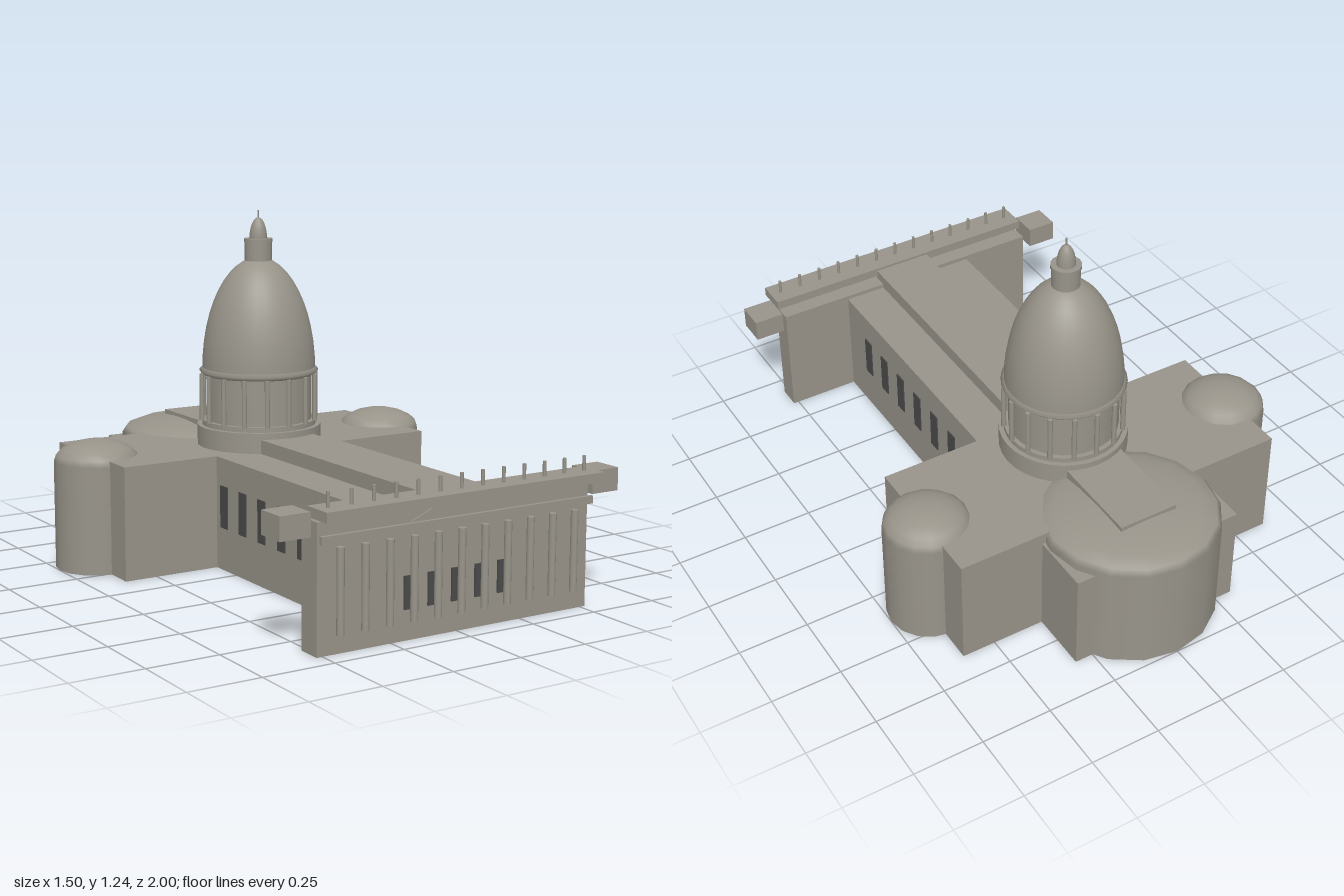
import * as THREE from 'three';

const stone = new THREE.MeshStandardMaterial({ color: 0x98948a });
stone.name = 'stone';
const glass = new THREE.MeshStandardMaterial({ color: 0x4a4a4b });
glass.name = 'darkWindow';

export function createModel() {
  const model = new THREE.Group();
  model.name = 'domedBasilica';

  const add = (name, geo, x = 0, y = 0, z = 0, mat = stone) => {
    const mesh = new THREE.Mesh(geo, mat);
    mesh.name = name;
    mesh.position.set(x, y, z);
    model.add(mesh);
    return mesh;
  };
  // Box from its minimum and maximum corners
  const block = (name, x0, x1, y0, y1, z0, z1, mat) =>
    add(name, new THREE.BoxGeometry(x1 - x0, y1 - y0, z1 - z0),
      (x0 + x1) / 2, (y0 + y1) / 2, (z0 + z1) / 2, mat);
  // Upright cylinder between two heights
  const drum = (name, r, y0, y1, x, z, sides = 32) =>
    add(name, new THREE.CylinderGeometry(r, r, y1 - y0, sides), x, (y0 + y1) / 2, z);
  // Half ellipsoid standing on height y
  const cap = (name, r, h, x, y, z, sides, rings) => {
    const geo = new THREE.SphereGeometry(r, sides, rings, 0, Math.PI * 2, 0, Math.PI / 2);
    geo.scale(1, h / r, 1);
    return add(name, geo, x, y, z);
  };

  // Main body
  block('nave', -0.26, 0.26, 0, 0.4, -0.64, 0.86);
  block('transept', -0.62, 0.62, 0, 0.4, -0.65, -0.13);
  block('choir', -0.315, 0.315, 0, 0.36, -0.865, -0.6);
  block('raisedRoof', -0.108, 0.108, 0.39, 0.45, -0.8, 0.895);

  // Rounded apses with shallow domes
  for (const [name, x, z, r, h] of [
    ['rearApse', 0, -0.69, 0.31, 0.062],
    ['leftApse', 0.6, -0.385, 0.15, 0.074],
    ['rightApse', -0.6, -0.385, 0.15, 0.074],
  ]) {
    drum(name + 'Wall', r, 0, 0.38, x, z, 16);
    cap(name + 'Dome', r, h, x, 0.38, z, 16, 5);
  }

  // Facade
  block('facadeWall', -0.52, 0.52, 0, 0.415, 0.845, 0.93);
  block('entablature', -0.52, 0.52, 0.35, 0.376, 0.945, 0.958);
  block('balustradeLedge', -0.53, 0.53, 0.427, 0.46, 0.89, 1.0);
  const gable = new THREE.Shape([
    new THREE.Vector2(-0.18, 0), new THREE.Vector2(0.18, 0), new THREE.Vector2(0, 0.073),
  ]);
  add('pediment', new THREE.ExtrudeGeometry(gable, { depth: 0.035, bevelEnabled: false }), 0, 0.376, 0.9);
  for (const s of [-1, 1]) {
    const cube = add(s > 0 ? 'leftClockBlock' : 'rightClockBlock', new THREE.BoxGeometry(0.108, 0.077, 0.105));
    cube.position.set(s * 0.595, 0.4115, 0.878);
  }
  for (let i = -5; i <= 5; i++) drum('facadeColumn', 0.0125, 0.065, 0.337, i * 0.09, 0.952, 12);
  for (let i = -6; i <= 6; i++) drum('statue', 0.006, 0.46, 0.51, i * 0.0817, 0.945, 8);
  for (let i = -2; i <= 2; i++) {
    block('facadeWindow', i * 0.09 - 0.025, i * 0.09 + 0.025, 0.1, 0.207, 0.929, 0.936, glass);
  }

  // Nave side windows
  for (let i = 0; i < 7; i++) {
    const z = 0.686 - i * 0.127;
    for (const s of [-1, 1]) {
      add('naveWindow', new THREE.BoxGeometry(0.008, 0.15, 0.048), s * 0.26, 0.227, z, glass);
    }
  }

  // Drum with its ring of columns
  const dz = -0.277;
  drum('drumBase', 0.223, 0.39, 0.472, 0, dz);
  drum('drumStep', 0.206, 0.47, 0.49, 0, dz);
  drum('drumWall', 0.19, 0.48, 0.665, 0, dz);
  for (let i = 0; i < 16; i++) {
    const a = i * Math.PI / 8;
    drum('drumColumn', 0.009, 0.488, 0.656, Math.sin(a) * 0.207, dz + Math.cos(a) * 0.207, 8);
  }
  const cornice = add('drumCornice', new THREE.TorusGeometry(0.201, 0.014, 4, 32), 0, 0.668, dz);
  cornice.rotation.x = Math.PI / 2;

  // Great dome, lantern and spire
  cap('greatDome', 0.204, 0.405, 0, 0.668, dz, 32, 12);
  drum('lantern', 0.049, 1.05, 1.13, 0, dz, 16);
  drum('lanternRim', 0.052, 1.128, 1.14, 0, dz, 16);
  cap('lanternCap', 0.032, 0.077, 0, 1.138, dz, 16, 6);
  drum('spire', 0.003, 1.2, 1.24, 0, dz, 6);

  return model;
}
